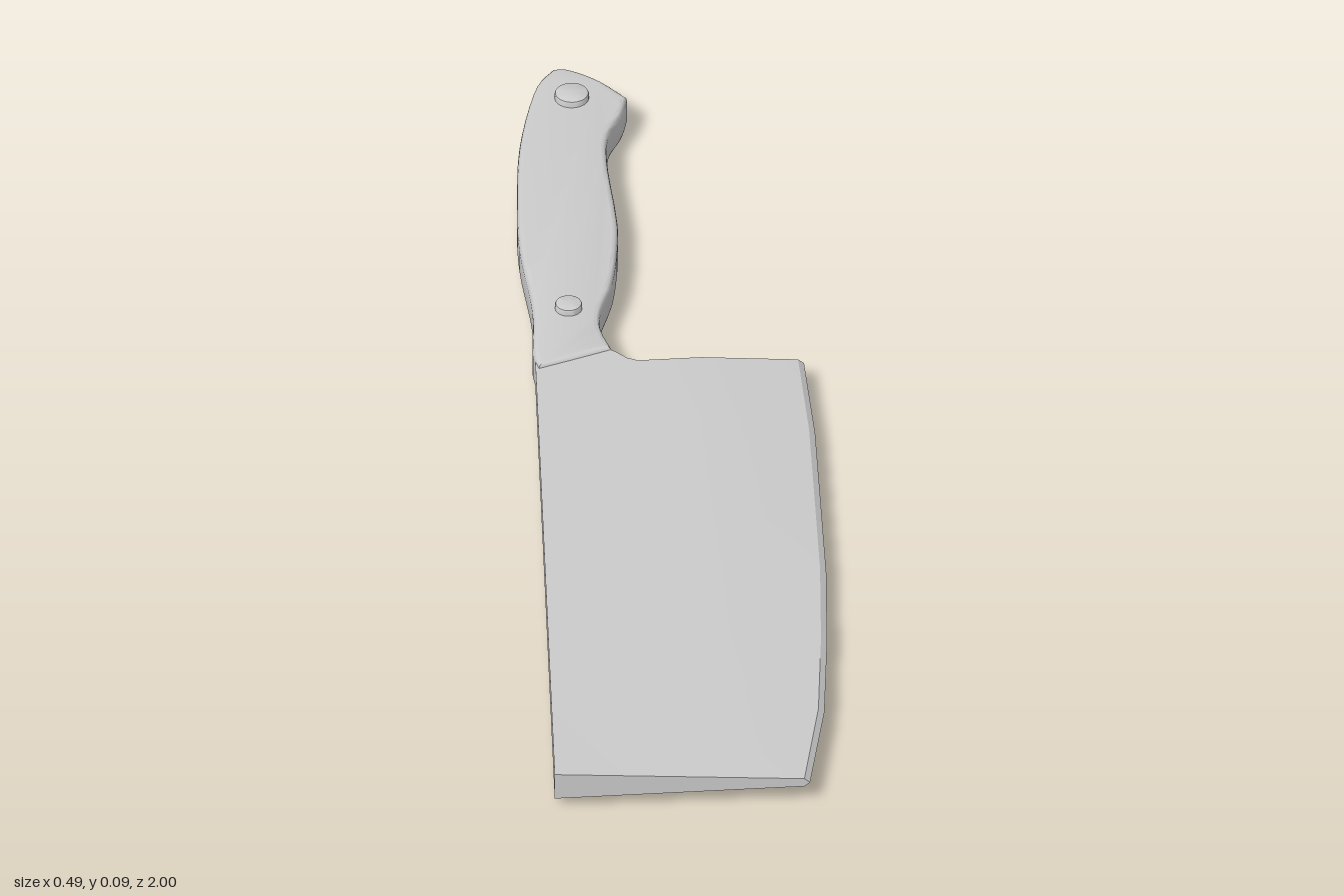
import * as THREE from 'three';
import { toCreasedNormals } from 'three/addons/utils/BufferGeometryUtils.js';

const MID = 0.043; // height of the flat centre plane
const SPINE_X = -0.23;
const lerp = THREE.MathUtils.lerp;

// Cutting edge x for each z
const EDGE = [[-0.21, 0.222], [-0.19, 0.223], [0, 0.236], [0.2, 0.24], [0.4, 0.244], [0.6, 0.24], [0.8, 0.23], [1, 0.2]];
function edgeX(z) {
  const i = Math.max(1, EDGE.findIndex(p => p[0] >= z - 1e-6));
  const [a, b] = [EDGE[i - 1], EDGE[i]];
  return lerp(a[1], b[1], (z - a[0]) / (b[0] - a[0]));
}

// Columns from spine to edge: [fraction of width, z of the heel outline]
const COLUMNS = [[0, -0.17], [0.26, -0.21], [0.3, -0.198], [0.34, -0.18], [0.38, -0.172],
  [0.615, -0.178], [0.8, -0.184], [0.978, -0.19], [1, -0.19]];
const STATIONS = [0, 0.2, 0.4, 0.6, 0.8, 1, 1.2]; // z offsets scaled to the blade length

// Half thickness: wedge towards the edge, fuller near the heel
function halfThickness(u, z) {
  if (u === 1) return 0;
  const front = lerp(0.025, 0.008, u / 0.978);
  const heel = u < 0.615 ? 0.025 : lerp(0.025, 0.008, (u - 0.615) / 0.363);
  return lerp(heel, front, THREE.MathUtils.clamp((z + 0.19) / 1.19, 0, 1));
}

function bladeGeometry() {
  const rings = STATIONS.map(s => {
    const side = sign => COLUMNS.map(([u, back]) => {
      const z = lerp(back, 1, s / 1.2);
      const x = SPINE_X + u * (edgeX(z) - SPINE_X);
      return [x, MID + sign * halfThickness(u, z), z];
    });
    return [...side(1), ...side(-1).reverse().slice(1)];
  });
  const pos = [];
  const tri = (a, b, c) => pos.push(...a, ...b, ...c);
  const quad = (a, b, c, d) => { tri(a, b, c); tri(a, c, d); };
  const n = rings[0].length;
  for (let v = 0; v < rings.length - 1; v++) {
    for (let k = 0; k < n; k++) {
      const j = (k + 1) % n;
      quad(rings[v][k], rings[v + 1][k], rings[v + 1][j], rings[v][j]);
    }
  }
  // Heel and tip faces
  const heel = rings[0], tip = rings[rings.length - 1];
  for (let i = 0; i < COLUMNS.length - 1; i++) {
    const b0 = n - 1 - i, b1 = n - 2 - i;
    tri(heel[i], heel[i + 1], heel[b1]);
    tri(tip[i], tip[b1], tip[i + 1]);
    if (b1 !== i + 1) {
      tri(heel[i], heel[b1], heel[b0]);
      tri(tip[i], tip[b0], tip[b1]);
    } else {
      tri(heel[i], heel[b1], heel[b0]);
      tri(tip[i], tip[b0], tip[b1]);
    }
  }
  const g = new THREE.BufferGeometry();
  g.setAttribute('position', new THREE.Float32BufferAttribute(pos, 3));
  return toCreasedNormals(g, 0.25);
}

function handleGeometry() {
  // Outline as (x, z), drawn with shape y = -z
  const v = (x, z) => new THREE.Vector2(x, -z);
  const shape = new THREE.Shape();
  shape.moveTo(-0.225, 0.152);
  shape.splineThru([v(-0.234, -0.2), v(-0.231, -0.32), v(-0.247, -0.48), v(-0.249, -0.6), v(-0.24, -0.78),
    v(-0.21, -0.94), v(-0.178, -0.998)]);
  shape.splineThru([v(-0.15, -0.997), v(-0.1, -0.965), v(-0.055, -0.915)]);
  shape.splineThru([v(-0.065, -0.87), v(-0.089, -0.81), v(-0.093, -0.73), v(-0.083, -0.6), v(-0.081, -0.52),
    v(-0.093, -0.4), v(-0.116, -0.31), v(-0.117, -0.26), v(-0.1, -0.203)]);
  shape.quadraticCurveTo(-0.15, 0.182, -0.225, 0.152);
  const bevel = 0.01;
  const g = new THREE.ExtrudeGeometry(shape, {
    depth: 0.062 - 2 * bevel, bevelThickness: bevel, bevelSize: bevel,
    bevelOffset: -bevel, bevelSegments: 3, curveSegments: 4,
  });
  g.rotateX(-Math.PI / 2).translate(0, 0.012 + bevel, 0);
  return toCreasedNormals(g, 0.6);
}

// Rivet running through the handle, with softened rims
function rivetGeometry(r) {
  const c = 0.004, h = 0.043;
  const profile = [[0, -h], [r - c, -h], [r - c * 0.3, -h + c * 0.3], [r, -h + c],
    [r, h - c], [r - c * 0.3, h - c * 0.3], [r - c, h], [0, h]];
  return toCreasedNormals(new THREE.LatheGeometry(profile.map(p => new THREE.Vector2(...p)), 24), 0.6);
}

export function createModel() {
  const group = new THREE.Group();
  const material = new THREE.MeshStandardMaterial({ color: 0xcccccc });
  const add = (name, geometry) => {
    const mesh = new THREE.Mesh(geometry, material);
    mesh.name = name;
    group.add(mesh);
    return mesh;
  };
  add('blade', bladeGeometry());
  add('handle', handleGeometry());
  add('frontRivet', rivetGeometry(0.023)).position.set(-0.17, MID, -0.315);
  add('rearRivet', rivetGeometry(0.029)).position.set(-0.148, MID, -0.912);
  return group;
}
